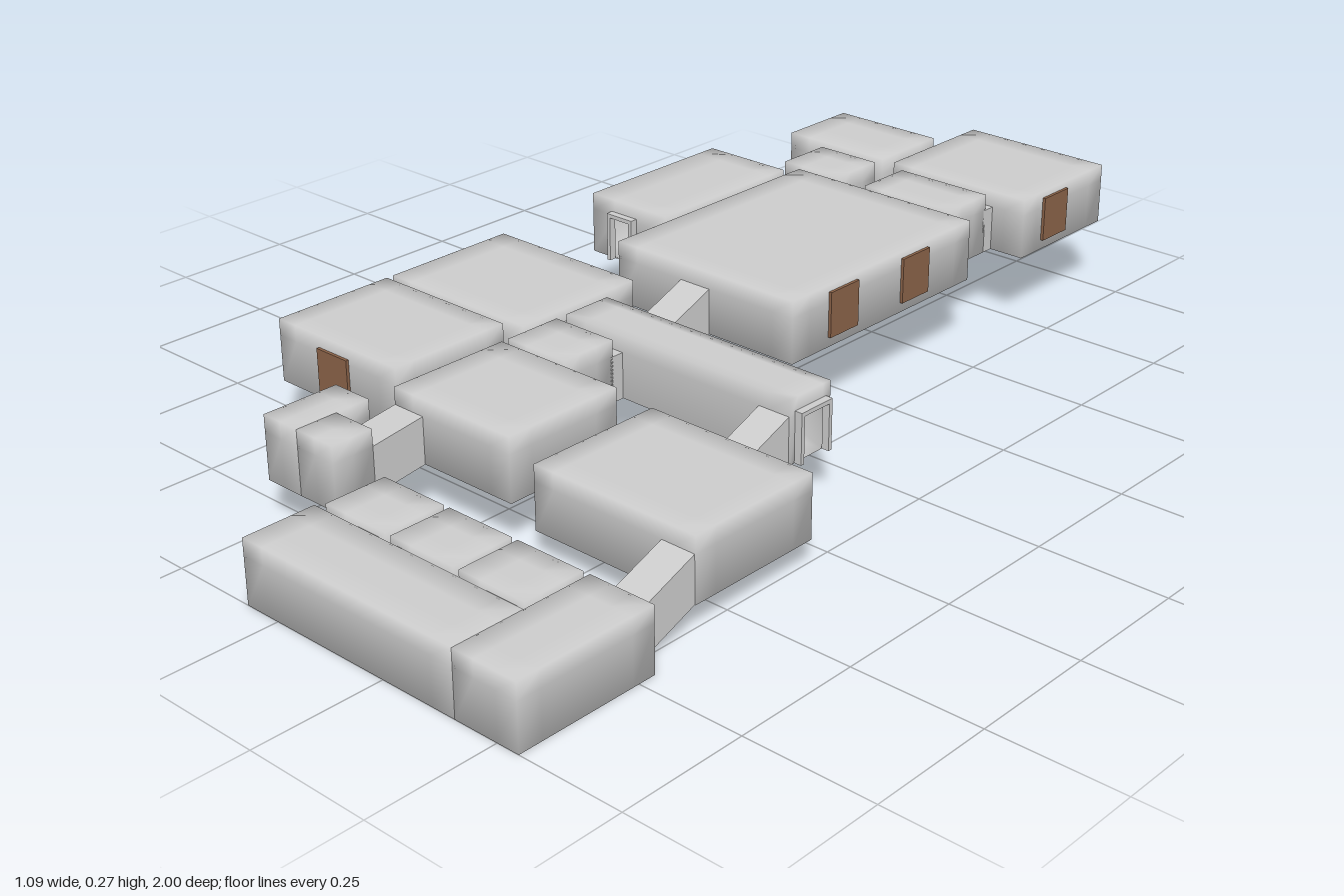
import * as THREE from 'three';
import { mergeVertices } from 'three/addons/utils/BufferGeometryUtils.js';

const grey = new THREE.MeshStandardMaterial({ color: 0xcccccc, side: THREE.DoubleSide });
const brown = new THREE.MeshStandardMaterial({ color: 0x8a6248 });
const H = 0.123, DOOR = 0.09, STEP = 0.05;

// Closed box shell with soft normals; doors {side, lo, hi} are cut out of the walls
function shell(x0, x1, z0, z1, y0, doors = [], h = H) {
  const w = x1 - x0, d = z1 - z0;
  const nx = Math.ceil(w / STEP), nz = Math.ceil(d / STEP);
  let g = new THREE.BoxGeometry(w, h, d, nx, 2, nz);
  g.deleteAttribute('normal');
  g.deleteAttribute('uv');
  g.translate((x0 + x1) / 2, y0 + h / 2, (z0 + z1) / 2);
  g = mergeVertices(g, 1e-5);
  const p = g.attributes.position;
  // Pull the nearest inner grid line onto each door edge
  const snap = (v, a, b, step, axis) => {
    if (v < a + 1e-4 || v > b - 1e-4) return v;
    for (const door of doors) {
      if (door.side[1] === axis) continue;
      for (const e of [door.lo, door.hi]) if (Math.abs(v - e) < step / 2) return e;
    }
    return v;
  };
  for (let i = 0; i < p.count; i++) {
    const y = p.getY(i);
    p.setXYZ(i, snap(p.getX(i), x0, x1, w / nx, 'x'),
      Math.abs(y - y0 - h / 2) < 1e-4 ? y0 + h * DOOR / H : y,
      snap(p.getZ(i), z0, z1, d / nz, 'z'));
  }
  const wall = { '-x': x0, '+x': x1, '-z': z0, '+z': z1 };
  const old = g.index.array, kept = [];
  const c = new THREE.Vector3(), v = new THREE.Vector3();
  for (let i = 0; i < old.length; i += 3) {
    c.set(0, 0, 0);
    for (let k = 0; k < 3; k++) c.addScaledVector(v.fromBufferAttribute(p, old[i + k]), 1 / 3);
    const cut = doors.some(({ side, lo, hi }) => {
      const onX = side[1] === 'x';
      const along = onX ? c.z : c.x, across = onX ? c.x : c.z;
      return Math.abs(across - wall[side]) < 1e-4 && along > lo && along < hi && c.y < y0 + DOOR;
    });
    if (!cut) kept.push(old[i], old[i + 1], old[i + 2]);
  }
  g.setIndex(kept);
  g.computeVertexNormals();
  return g;
}

// Corridor box whose floor goes from ya at z0 to yb at z1
function ramp(x0, x1, z0, z1, ya, yb, h = DOOR) {
  const g = new THREE.BoxGeometry(x1 - x0, h, z1 - z0);
  g.translate((x0 + x1) / 2, h / 2, (z0 + z1) / 2);
  const p = g.attributes.position;
  for (let i = 0; i < p.count; i++) {
    const t = (p.getZ(i) - z0) / (z1 - z0);
    p.setY(i, p.getY(i) + ya + (yb - ya) * t);
  }
  g.computeVertexNormals();
  return g;
}

// Doorway surround: two posts and a lintel, standing out from the wall
function doorFrame(side, wall, lo, hi, y0, b = 0.008, depth = 0.015) {
  const s = new THREE.Shape();
  const a = (lo - hi) / 2, t = DOOR;
  [[a - b, 0], [a, 0], [a, t], [-a, t], [-a, 0], [b - a, 0], [b - a, t + b], [a - b, t + b]]
    .forEach(([x, y], i) => (i ? s.lineTo(x, y) : s.moveTo(x, y)));
  const g = new THREE.ExtrudeGeometry(s, { depth, bevelEnabled: false });
  const mid = (lo + hi) / 2;
  const turn = { '+z': 0, '+x': Math.PI / 2, '-z': Math.PI, '-x': -Math.PI / 2 }[side];
  g.rotateY(turn);
  if (side[1] === 'x') g.translate(wall, y0, mid);
  else g.translate(mid, y0, wall);
  return g;
}

export function createModel() {
  const model = new THREE.Group();
  const add = (name, g, m = grey) => {
    const mesh = new THREE.Mesh(g, m);
    mesh.name = name;
    model.add(mesh);
  };
  const HIGH = 0.144, MID = 0.095, LOW = 0.05;

  // Rooms: name, x0, x1, z0, z1, floor, outer doors
  const rooms = [
    ['backRoom', -0.13, 0.195, -1, -0.725, HIGH],
    ['backSideRoom', -0.405, -0.16, -0.9, -0.725, HIGH, [{ side: '-x', lo: -0.855, hi: -0.79 }]],
    ['smallLobby', -0.3, -0.16, -0.7, -0.58, HIGH],
    ['wideLobby', -0.09, 0.12, -0.7, -0.58, HIGH],
    ['mainHall', -0.25, 0.18, -0.565, -0.035, HIGH],
    ['sideHall', -0.465, -0.27, -0.54, -0.185, HIGH, [{ side: '+z', lo: -0.405, hi: -0.355 }]],
    ['entranceRoom', -0.53, -0.18, 0, 0.285, MID, [
      { side: '-x', lo: 0.11, hi: 0.175, b: 0.025 },
      { side: '-z', lo: -0.42, hi: -0.365 },
      { side: '+x', lo: 0.11, hi: 0.175 }]],
    ['cornerRoom', -0.53, -0.215, 0.3, 0.555, MID],
    ['longHallway', -0.16, 0.37, 0.09, 0.195, MID, [
      { side: '+x', lo: 0.11, hi: 0.175 }, { side: '-x', lo: 0.11, hi: 0.175 }]],
    ['middleLobby', -0.16, -0.02, 0.22, 0.34, MID],
    ['middleRoom', -0.16, 0.12, 0.355, 0.605, MID],
    ['lowerRoom', 0.155, 0.51, 0.305, 0.585, LOW, [{ side: '-x', lo: 0.42, hi: 0.475 }]],
    ['closet', -0.265, -0.18, 0.645, 0.8, 0.08],
    ['closetPassage', -0.18, -0.09, 0.715, 0.8, 0.08],
    ['frontGallery', -0.075, 0.41, 0.855, 1, 0],
    ['frontHall', 0.41, 0.545, 0.715, 1, 0],
  ];
  for (const [name, x0, x1, z0, z1, y, doors = []] of rooms) {
    add(name, shell(x0, x1, z0, z1, y, doors));
    const wall = { '-x': x0, '+x': x1, '-z': z0, '+z': z1 };
    for (const d of doors)
      add(name + 'DoorFrame', doorFrame(d.side, wall[d.side], d.lo, d.hi, y, d.b));
  }

  // Row of cells behind the front gallery, each with a short neck
  for (let i = 0; i < 3; i++) {
    const x = -0.065 + i * 0.158;
    add('cell', shell(x, x + 0.145, 0.715, 0.84, 0));
    add('cellNeck', ramp(x + 0.015, x + 0.13, 0.835, 0.86, 0, 0, 0.11));
  }

  // Sloped and level corridors: x0, x1, z0, z1, floor at z0, floor at z1
  const links = [
    [-0.3, -0.235, -0.73, -0.695, HIGH, HIGH],
    [0.05, 0.12, -0.73, -0.695, HIGH, HIGH],
    [-0.235, -0.165, -0.585, -0.56, HIGH, HIGH],
    [-0.09, -0.02, -0.585, -0.56, HIGH, HIGH],
    [-0.09, -0.02, -0.035, 0.09, HIGH, MID],
    [-0.09, -0.02, 0.19, 0.225, MID, MID],
    [-0.16, -0.09, 0.335, 0.36, MID, MID],
    [-0.16, -0.09, 0.605, 0.72, MID, 0.08],
    [0.3, 0.367, 0.195, 0.31, MID, LOW],
    [0.438, 0.508, 0.585, 0.715, LOW, 0],
  ];
  for (const l of links) add('corridor', ramp(...l));
  add('hallOpening', ramp(-0.275, -0.245, -0.46, -0.25, HIGH, HIGH, 0.1));
  add('roomOpening', ramp(-0.52, -0.245, 0.28, 0.305, MID, MID, 0.11));

  // Brown doors set on the outer walls
  const panel = (w, d, x, y, z) => add('brownDoor',
    new THREE.BoxGeometry(w, 0.09, d).translate(x, y + 0.06, z), brown);
  panel(0.012, 0.08, 0.18, HIGH + 0.005, -0.177);
  panel(0.012, 0.08, 0.18, HIGH + 0.005, -0.39);
  panel(0.012, 0.08, 0.195, HIGH + 0.005, -0.83);
  panel(0.08, 0.012, -0.38, MID - 0.005, 0.555);
  return model;
}
